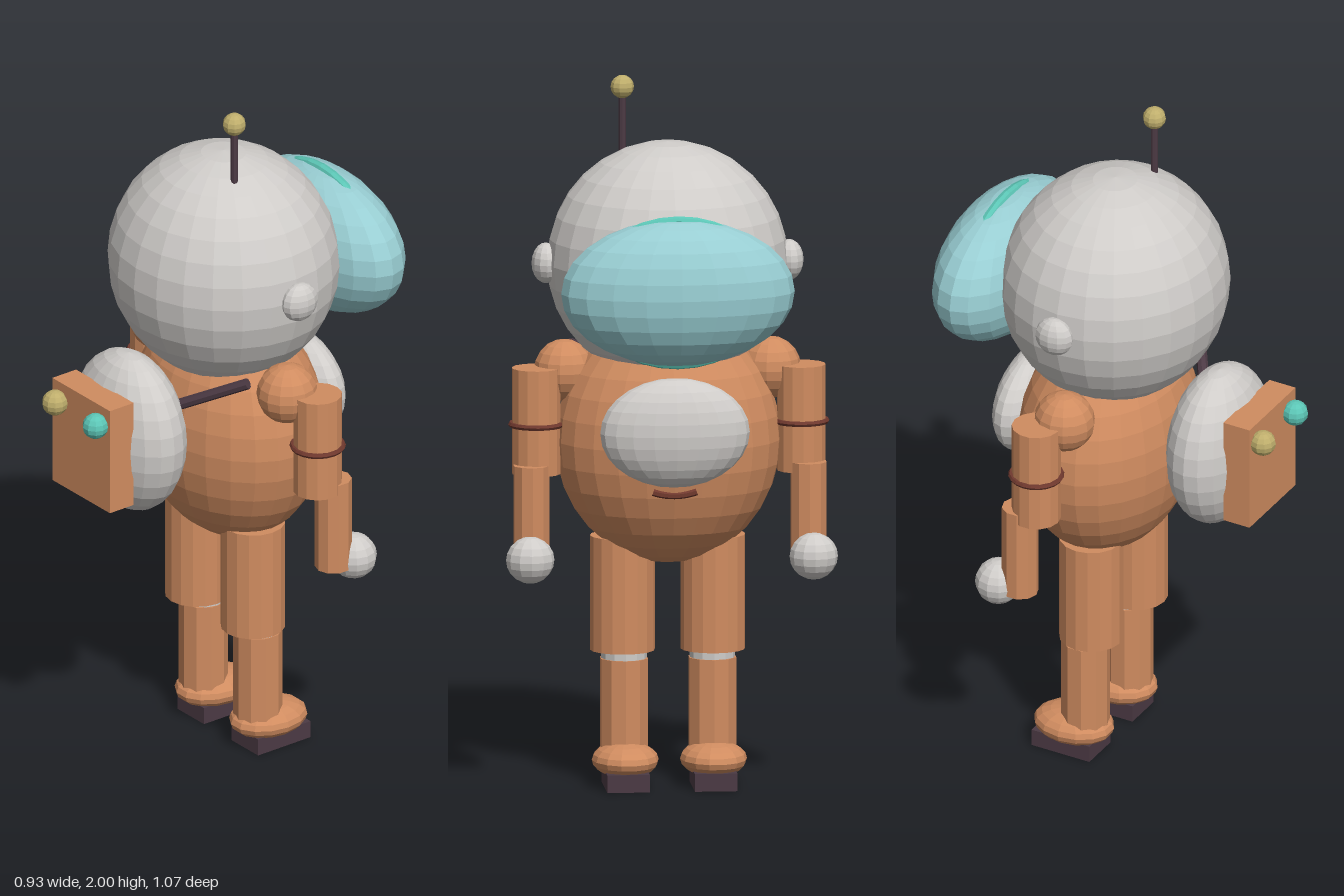
import * as THREE from 'three';

function mat(name, color) {
  const m = new THREE.MeshStandardMaterial({ color, flatShading: true });
  m.name = name;
  return m;
}

export function createModel() {
  const root = new THREE.Group();
  root.name = 'spaceExplorer';

  const orange = mat('suitOrange', 0xd08c60);
  const grey = mat('shellGrey', 0xcfccc9);
  const blue = mat('visorBlue', 0x98cdd2);
  const teal = mat('trimTeal', 0x5cc6b6);
  const gold = mat('knobGold', 0xbfae6c);
  const dark = mat('darkPlum', 0x4c3a44);
  const brown = mat('bandBrown', 0x70392e);

  function add(name, geometry, material, x, y, z) {
    const m = new THREE.Mesh(geometry, material);
    m.name = name;
    m.position.set(x, y, z);
    root.add(m);
    return m;
  }
  // Ellipsoid given by centre and radii
  function ball(name, material, [x, y, z], [rx, ry, rz], w = 24, h = 16) {
    const g = new THREE.SphereGeometry(1, w, h).scale(rx, ry, rz);
    return add(name, g, material, x, y, z);
  }
  // Upright cylinder between two heights
  function post(name, material, x, z, r, y0, y1, sides) {
    return add(name, new THREE.CylinderGeometry(r, r, y1 - y0, sides), material, x, (y0 + y1) / 2, z);
  }

  // Helmet and visor, facing -z
  ball('helmet', grey, [0, 1.48, -0.03], [0.338, 0.34, 0.318]);
  ball('visor', blue, [0, 1.45, -0.377], [0.328, 0.207, 0.157], 20, 14);
  const trim = new THREE.TorusGeometry(0.25, 0.015, 8, 32).scale(1.01, 0.82, 1);
  add('visorTrim', trim, teal, 0, 1.45, -0.38);

  // Antenna
  post('antennaRod', dark, 0.122, 0.027, 0.01, 1.77, 1.95, 8);
  ball('antennaTip', gold, [0.122, 1.967, 0.027], [0.033, 0.033, 0.033], 10, 8);

  // Body with chest plate and the trim under it
  ball('torso', orange, [0, 0.98, -0.05], [0.317, 0.35, 0.24]);
  ball('chestPlate', grey, [0, 1.035, -0.28], [0.21, 0.155, 0.085], 20, 14);
  const arc = new THREE.TorusGeometry(0.19, 0.01, 6, 10, 0.66).rotateZ(-Math.PI / 2 - 0.33);
  add('chestTrim', arc, brown, 0, 1.045, -0.272);

  // Backpack
  ball('backpackTank', grey, [0, 1.05, 0.305], [0.208, 0.24, 0.127], 20, 14);
  add('backpackBox', new THREE.BoxGeometry(0.262, 0.32, 0.084), orange, 0, 1.05, 0.433);
  ball('goldKnob', gold, [-0.092, 1.155, 0.496], [0.037, 0.037, 0.037], 10, 8);
  ball('tealKnob', teal, [0.092, 1.155, 0.496], [0.037, 0.037, 0.037], 10, 8);

  // Air hose from the tank to the left shoulder
  const from = new THREE.Vector3(0.265, 1.23, 0.09);
  const to = new THREE.Vector3(0.1, 1.135, 0.2);
  const dir = to.clone().sub(from);
  const hose = add('airHose', new THREE.CylinderGeometry(0.016, 0.016, dir.length(), 8), dark, 0, 0, 0);
  hose.position.copy(from).add(to).multiplyScalar(0.5);
  hose.quaternion.setFromUnitVectors(new THREE.Vector3(0, 1, 0), dir.normalize());

  for (const [side, s] of [['left', 1], ['right', -1]]) {
    ball(side + 'EarCap', grey, [s * 0.342, 1.48, -0.033], [0.04, 0.057, 0.057], 12, 10);

    // Arm
    ball(side + 'Shoulder', orange, [s * 0.29, 1.175, -0.03], [0.085, 0.087, 0.087], 14, 10);
    post(side + 'UpperArm', orange, s * 0.372, -0.074, 0.069, 0.89, 1.19, 14);
    const band = new THREE.TorusGeometry(0.071, 0.008, 6, 20).rotateX(Math.PI / 2);
    add(side + 'ArmBand', band, brown, s * 0.372, 1.03, -0.074);
    post(side + 'Forearm', orange, s * 0.389, -0.116, 0.052, 0.645, 0.92, 10);
    ball(side + 'Hand', grey, [s * 0.398, 0.662, -0.18], [0.068, 0.066, 0.066], 12, 10);

    // Leg
    post(side + 'Thigh', orange, s * 0.127, -0.035, 0.091, 0.38, 0.705, 16);
    post(side + 'KneeRing', grey, s * 0.124, -0.055, 0.064, 0.355, 0.39, 12);
    post(side + 'Shin', orange, s * 0.124, -0.055, 0.069, 0.07, 0.36, 10);
    ball(side + 'Boot', orange, [s * 0.124, 0.077, -0.092], [0.094, 0.05, 0.119], 14, 10);
    add(side + 'Sole', new THREE.BoxGeometry(0.12, 0.05, 0.186), dark, s * 0.123, 0.025, -0.103);
  }
  return root;
}
